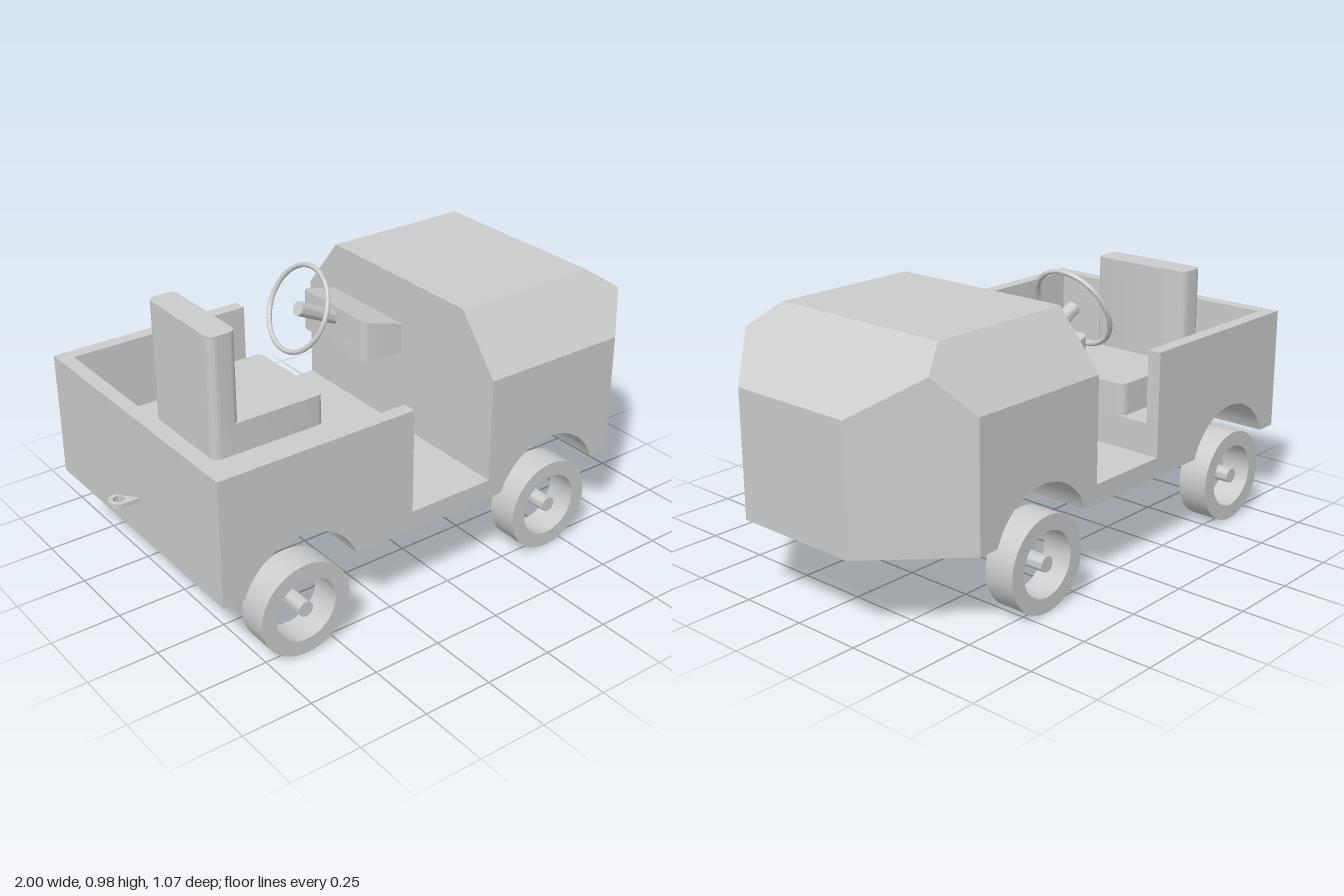
import * as THREE from 'three';
import { toCreasedNormals } from 'three/addons/utils/BufferGeometryUtils.js';
import { ConvexGeometry } from 'three/addons/geometries/ConvexGeometry.js';

const HALF = 0.517;          // half width of the body
const WALL = 0.05;           // tub wall thickness
const BOTTOM = 0.285, FLOOR = 0.355, DECK = 0.47, RIM = 0.73, HOOD = 0.93;
const REAR = -0.905, DOOR = -0.175, COWL = 0.155, NOSE = 0.715;
const AXLES = [-0.615, 0.425];

export function createModel() {
  const model = new THREE.Group();
  model.name = 'utilityVehicle';
  const material = new THREE.MeshStandardMaterial({ color: 0xcccccc });

  const add = (name, geometry, parent = model) => {
    const mesh = new THREE.Mesh(toCreasedNormals(geometry, 0.55), material);
    mesh.name = name;
    parent.add(mesh);
    return mesh;
  };
  const extrude = (shape, depth) =>
    new THREE.ExtrudeGeometry(shape, { depth, bevelEnabled: false, curveSegments: 24 });
  // Plan shape (x, -z) raised from y
  const raise = (shape, y, height) => extrude(shape, height).rotateX(-Math.PI / 2).translate(0, y, 0);

  // Side outline of the body with wheel arches
  const bodyProfile = (bed) => {
    const s = new THREE.Shape();
    s.moveTo(REAR, BOTTOM);
    [...bed, [DOOR, FLOOR], [COWL, FLOOR], [COWL, RIM], [NOSE, RIM], [NOSE, BOTTOM]]
      .forEach(([x, y]) => s.lineTo(x, y));
    const a = 0.343;
    for (const x of [...AXLES].reverse()) s.absarc(x, 0.209, 0.226, a, Math.PI - a, false);
    return s;
  };

  // Body: floor section between two tall side panels
  const inner = HALF - WALL;
  const middle = bodyProfile([[REAR, RIM], [REAR + WALL, RIM], [REAR + WALL, DECK], [DOOR, DECK]]);
  add('bodyFloor', extrude(middle, 2 * inner).translate(0, 0, -inner));
  const side = bodyProfile([[REAR, RIM], [DOOR, RIM]]);
  add('leftSidePanel', extrude(side, WALL).translate(0, 0, -HALF));
  add('rightSidePanel', extrude(side, WALL).translate(0, 0, inner));

  // Hood top and chamfered nose
  const hull = (half) => new ConvexGeometry(
    half.flatMap(([x, y, z]) => [new THREE.Vector3(x, y, z), new THREE.Vector3(x, y, -z)]));
  const topZ = 0.353;
  add('hood', hull([
    [COWL, RIM, HALF], [COWL, HOOD, topZ], [NOSE, RIM, HALF], [NOSE, HOOD, topZ],
  ]));
  add('nose', hull([
    [NOSE, BOTTOM, HALF], [NOSE, RIM, HALF], [NOSE, HOOD, topZ],
    [0.82, 0.856, 0.415], [1, RIM, 0.238], [1, BOTTOM, 0.238],
  ]));

  // Seat with rounded upright edges
  const roundedPlan = (x0, x1, v0, v1, r) => {
    const s = new THREE.Shape();
    s.absarc(x1 - r, v1 - r, r, 0, Math.PI / 2);
    s.absarc(x0 + r, v1 - r, r, Math.PI / 2, Math.PI);
    s.absarc(x0 + r, v0 + r, r, Math.PI, Math.PI * 1.5);
    s.absarc(x1 - r, v0 + r, r, Math.PI * 1.5, Math.PI * 2);
    return s;
  };
  const seat = new THREE.Group();
  seat.name = 'seat';
  model.add(seat);
  add('seatCushion', raise(roundedPlan(-0.618, DOOR, -0.027, 0.365, 0.03), DECK, 0.115), seat);
  add('seatBack', raise(roundedPlan(-0.62, -0.514, -0.027, 0.365, 0.03), DECK, 0.45), seat);

  // Dashboard pod with a sloping top
  const pod = new THREE.Shape();
  pod.moveTo(COWL, -0.035);
  pod.lineTo(COWL, 0.36);
  pod.lineTo(0.03, 0.35);
  pod.quadraticCurveTo(0, 0.347, 0, 0.32);
  pod.lineTo(0, 0.005);
  pod.quadraticCurveTo(0, -0.022, 0.03, -0.025);
  const podGeometry = raise(pod, 0.647, 0.1);
  const p = podGeometry.attributes.position;
  for (let i = 0; i < p.count; i++) {
    if (p.getY(i) > 0.7) p.setY(i, 0.8 - 0.27 * p.getX(i));
  }
  add('dashboard', podGeometry);

  // Steering column and wheel; local +z is the column axis toward the driver
  const steering = new THREE.Group();
  steering.name = 'steering';
  steering.position.set(-0.147, 0.828, -0.162);
  steering.lookAt(steering.position.clone().add(new THREE.Vector3(-0.905, 0.425, 0)));
  model.add(steering);
  add('steeringWheel', new THREE.TorusGeometry(0.153, 0.009, 12, 48), steering);
  add('steeringColumn',
    new THREE.CylinderGeometry(0.026, 0.026, 0.2, 24).rotateX(Math.PI / 2).translate(0, 0, -0.1), steering);

  // Open ring wheels on through axles
  const ring = new THREE.Shape().absarc(0, 0, 0.168, 0, Math.PI * 2);
  ring.holes.push(new THREE.Path().absarc(0, 0, 0.114, 0, Math.PI * 2, true));
  AXLES.forEach((x, i) => {
    const end = i ? 'front' : 'rear';
    const y = 0.168;
    add(end + 'Axle', new THREE.CylinderGeometry(0.027, 0.027, 1.07, 24).rotateX(Math.PI / 2))
      .position.set(x, y, 0);
    for (const [name, z] of [['RightWheel', 0.425], ['LeftWheel', -0.537]]) {
      add(end + name, extrude(ring, 0.112)).position.set(x, y, z);
    }
  });

  // Tow hitch plate with a pin hole
  const hitch = new THREE.Shape();
  hitch.moveTo(REAR, 0.035);
  hitch.absarc(-0.965, 0, 0.035, Math.PI / 2, Math.PI * 1.5);
  hitch.lineTo(REAR, -0.035);
  hitch.holes.push(new THREE.Path().absarc(-0.965, 0, 0.019, 0, Math.PI * 2, true));
  add('towHitch', raise(hitch, 0.425, 0.017));

  return model;
}
